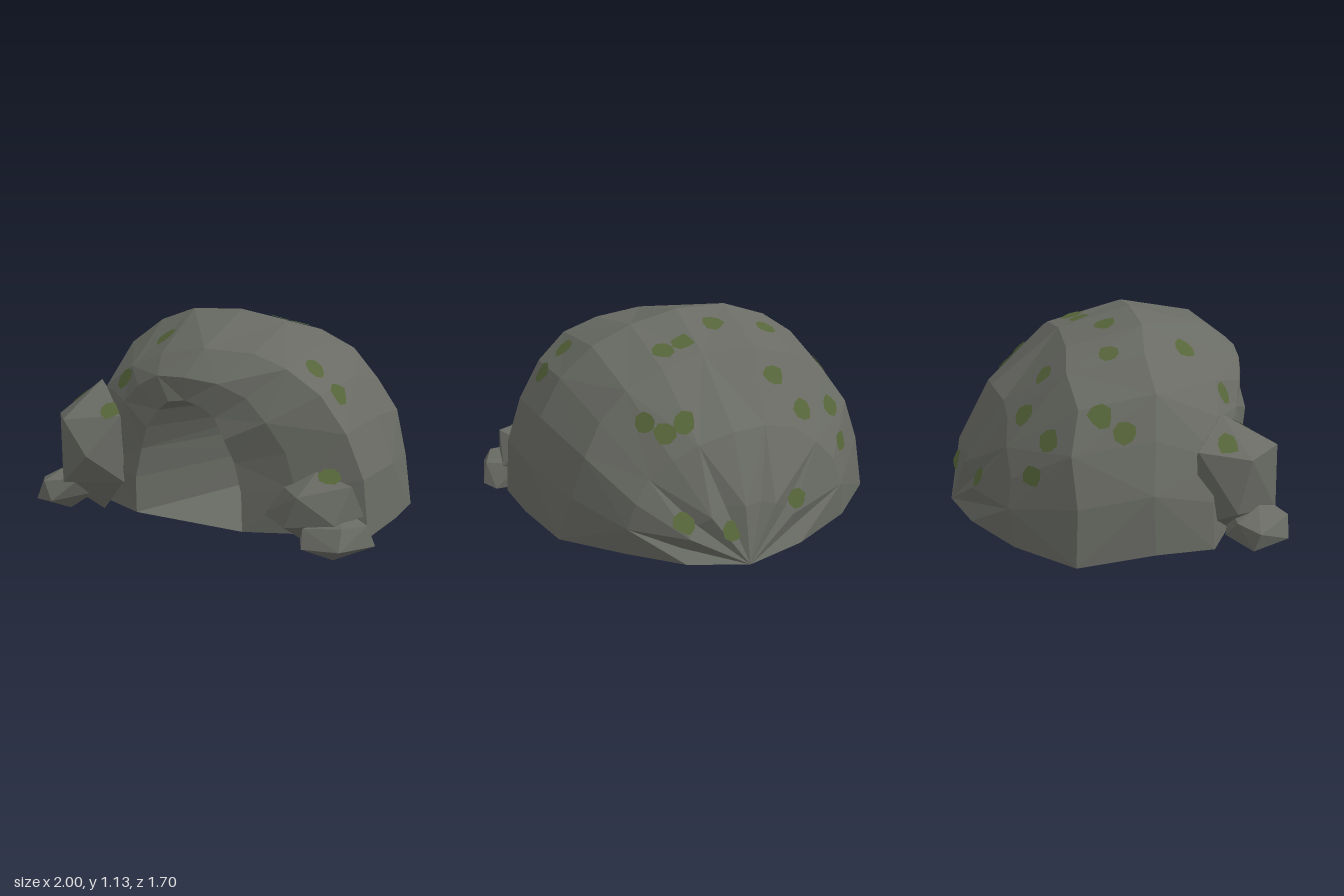
import * as THREE from 'three';
import { ConvexGeometry } from 'three/addons/geometries/ConvexGeometry.js';

// Small seeded random generator, returns -1..1
function seeded(seed) {
  let s = seed;
  return () => {
    s = (s * 16807) % 2147483647;
    return (s / 2147483647) * 2 - 1;
  };
}

// Arch of points running from -x over the crown to +x.
// foot overrides the +x end, pleat draws every other point forward.
const STEPS = 12;
function arch({ zs, zc, l, r, h, base = 0.07, cx = 0, tilt = 0, jitter = 0, pleat = 0, foot }, rnd) {
  const pts = [];
  for (let j = 0; j <= STEPS; j++) {
    const t = (j / STEPS) * Math.PI;
    const c = -Math.cos(t);
    const s = Math.max(0, Math.sin(t));
    const inner = j > 0 && j < STEPS ? jitter : 0;
    const x = cx + Math.sign(c) * Math.abs(c) ** 0.88 * (c < 0 ? l : r);
    pts.push(new THREE.Vector3(
      x + rnd() * inner,
      base + (h - base) * s ** 0.88 - tilt * x * s + rnd() * inner * 0.7,
      zs + (zc - zs) * s * s + rnd() * inner * 1.8 + (j % 2) * pleat
    ));
  }
  if (foot) pts[STEPS].set(...foot);
  return pts;
}

function fromTriangles(tris) {
  const g = new THREE.BufferGeometry().setFromPoints(tris);
  g.computeVertexNormals();
  return g;
}

// Skin between successive arches, with outward or inward faces
function loft(rings, inward = false) {
  const tris = [];
  const add = (a, b, c) => {
    const area = b.clone().sub(a).cross(c.clone().sub(a)).length();
    if (area > 1e-7) tris.push(a, ...(inward ? [c, b] : [b, c]));
  };
  for (let i = 0; i < rings.length - 1; i++) {
    for (let j = 0; j < STEPS; j++) {
      const a = rings[i][j], b = rings[i][j + 1];
      const c = rings[i + 1][j], d = rings[i + 1][j + 1];
      if ((i + j) % 2) { add(a, b, c); add(b, d, c); }
      else { add(a, b, d); add(a, d, c); }
    }
  }
  return fromTriangles(tris);
}

// Corners of the four boulders
const BOULDERS = {
  largeRightBoulder: [
    [-0.7, 0.73, 0.5], [-0.89, 0.6, 0.34], [-0.9, 0.54, 0.62], [-0.75, 0.56, 0.79],
    [-0.48, 0.58, 0.64], [-0.59, 0.38, 0.81], [-0.44, 0.23, 0.68], [-0.76, 0.21, 0.79],
    [-0.91, 0.25, 0.55], [-0.63, 0.03, 0.6], [-0.5, 0.35, 0.38], [-0.8, 0.15, 0.35],
  ],
  smallRightBoulder: [
    [-0.83, 0.26, 0.68], [-1, 0.17, 0.65], [-0.86, 0.21, 0.83], [-0.68, 0.23, 0.75],
    [-0.72, 0.22, 0.55], [-0.91, 0.2, 0.55], [-0.92, 0.1, 0.82], [-0.8, 0.11, 0.85],
    [-0.64, 0.14, 0.67], [-0.78, 0.08, 0.52], [-0.98, 0.07, 0.62], [-0.8, 0.03, 0.68],
  ],
  largeLeftBoulder: [
    [0.67, 0.42, 0.56], [0.48, 0.34, 0.6], [0.66, 0.33, 0.75], [0.88, 0.38, 0.58],
    [0.78, 0.33, 0.44], [0.55, 0.32, 0.45], [0.41, 0.19, 0.66], [0.6, 0.17, 0.77],
    [0.85, 0.2, 0.7], [0.9, 0.2, 0.48], [0.61, 0.05, 0.58], [0.5, 0.17, 0.46],
  ],
  smallLeftBoulder: [
    [0.82, 0.21, 0.6], [0.64, 0.14, 0.6], [0.7, 0.18, 0.76], [0.9, 0.2, 0.72],
    [0.97, 0.19, 0.58], [0.8, 0.2, 0.46], [1, 0.08, 0.55], [0.92, 0.1, 0.79],
    [0.72, 0.09, 0.81], [0.63, 0.08, 0.66], [0.72, 0.06, 0.47], [0.81, 0, 0.64], [0.95, 0.07, 0.47],
  ],
};

export function createModel() {
  const group = new THREE.Group();
  const material = (name, color) => {
    const m = new THREE.MeshStandardMaterial({ color, side: THREE.DoubleSide, flatShading: true });
    m.name = name;
    return m;
  };
  const rock = material('rock', 0x696b64);
  const moss = material('moss', 0x56653a);
  const add = (name, geometry, mat, parent = group) => {
    const m = new THREE.Mesh(geometry, mat);
    m.name = name;
    parent.add(m);
    return m;
  };

  // Outer shell: opening, front face, rim, then back to a point on the ground
  const rnd = seeded(77);
  const opening = arch({ zs: 0.72, zc: 0.755, l: 0.33, r: 0.325, h: 0.75, base: 0.09, jitter: 0.008 }, rnd);
  const apex = Array.from({ length: STEPS + 1 }, () => new THREE.Vector3(0, 0.05, -0.85));
  const shell = add('caveShell', loft([
    opening,
    arch({ zs: 0.6, zc: 0.73, l: 0.62, r: 0.6, h: 0.87, base: 0.09, jitter: 0.01 }, rnd),
    arch({ zs: 0.43, zc: 0.57, l: 0.93, r: 0.89, h: 0.985, cx: 0.01, tilt: -0.11, jitter: 0.01 }, rnd),
    arch({ zs: 0.11, zc: 0.15, l: 0.95, r: 0.93, h: 1.125, base: 0.09, cx: -0.03, tilt: 0.04, jitter: 0.012 }, rnd),
    arch({ zs: -0.3, zc: -0.24, l: 0.98, r: 0.8, h: 1.02, base: 0.05, tilt: 0.06, jitter: 0.015, foot: [0.83, 0.07, -0.22] }, rnd),
    arch({ zs: -0.58, zc: -0.59, l: 0.7, r: 0.6, h: 0.7, base: 0.06, tilt: 0.05, jitter: 0.015, foot: [0.58, 0.09, -0.54] }, rnd),
    arch({ zs: -0.77, zc: -0.79, l: 0.34, r: 0.34, h: 0.37, base: 0.06, jitter: 0.01, pleat: 0.05, foot: [0.33, 0.085, -0.77] }, rnd),
    apex,
  ]), rock);

  // Tunnel slanting back towards +x, with end wall and floor
  const end = arch({ zs: -0.27, zc: -0.27, l: 0.27, r: 0.24, h: 0.66, base: 0.09, cx: 0.23 }, rnd);
  add('tunnelWalls', loft([opening, end], true), rock);
  const wall = [];
  for (let j = 1; j < STEPS; j++) wall.push(end[0], end[j + 1], end[j]);
  add('tunnelEnd', fromTriangles(wall), rock);
  const [a, b, c, d] = [opening[0], opening[STEPS], end[STEPS], end[0]];
  add('tunnelFloor', fromTriangles([a, b, c, a, c, d]), rock);

  // Boulders on either side of the opening
  const boulders = Object.entries(BOULDERS).map(([name, corners]) =>
    add(name, new ConvexGeometry(corners.map((p) => new THREE.Vector3(...p))), rock));

  // Moss patches: thin irregular plates laid on the surface below each x, z
  const patches = new THREE.Group();
  patches.name = 'mossPatches';
  group.add(patches);
  const ray = new THREE.Raycaster();
  const spots = [
    [-0.33, -0.72], [0.08, -0.79], [0.32, -0.72], [-0.72, -0.48], [-0.47, -0.49], [-0.7, -0.39],
    [-0.36, -0.37], [0.22, -0.5], [0.33, -0.49], [0.4, -0.41], [0.06, -0.12], [0.18, -0.14],
    [-0.76, -0.14], [-0.82, -0.02], [-0.47, -0.05], [-0.17, -0.01], [-0.36, 0.37],
    [0.55, 0.37], [0.68, 0.36], [-0.84, 0.5], [-0.5, 0.55], [-0.55, 0.64], [0.75, 0.57],
  ];
  group.updateMatrixWorld(true);
  for (const [x, z] of spots) {
    ray.set(new THREE.Vector3(x, 3, z), new THREE.Vector3(0, -1, 0));
    const hit = ray.intersectObjects([shell, ...boulders], false)[0];
    if (!hit) continue;
    const normal = hit.face.normal.clone();
    if (normal.y < 0) normal.negate();
    const g = new THREE.CircleGeometry(0.06, 8);
    const p = g.attributes.position;
    for (let i = 1; i < p.count - 1; i++) {
      const k = 1 + rnd() * 0.18;
      p.setXY(i, p.getX(i) * k, p.getY(i) * k);
    }
    p.setXY(p.count - 1, p.getX(1), p.getY(1));
    const patch = add('mossPatch', g, moss, patches);
    patch.quaternion.setFromUnitVectors(new THREE.Vector3(0, 0, 1), normal);
    patch.position.copy(hit.point).addScaledVector(normal, 0.008);
  }
  return group;
}
